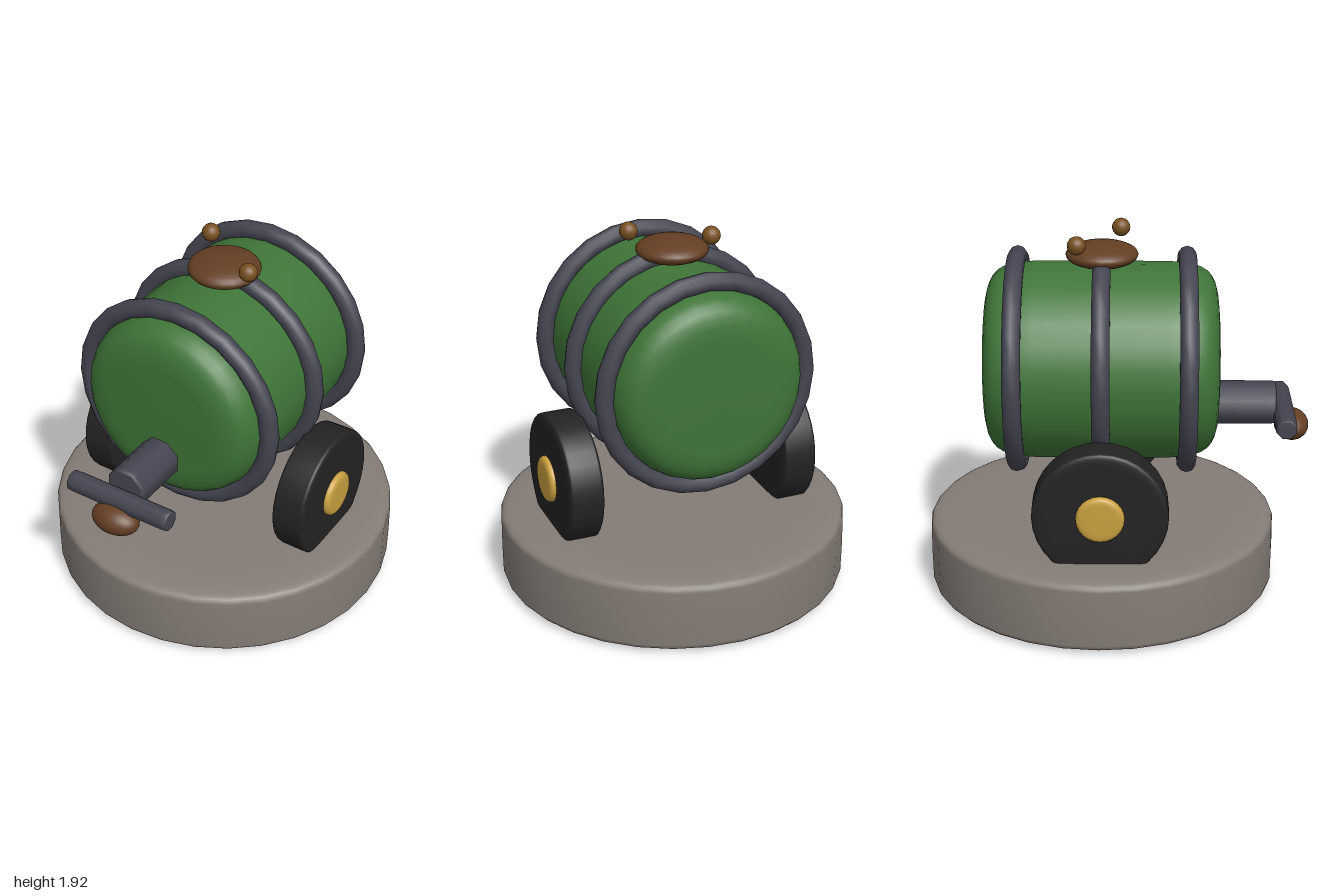
import * as THREE from 'three';

const mat = (name, color) => {
  const m = new THREE.MeshStandardMaterial({ color });
  m.name = name;
  return m;
};

// Round drum along y whose profile is a superellipse; a small e gives tight edges
function drum(radius, half, e, sides, steps = 20) {
  const pts = [];
  for (let i = 0; i <= steps; i++) {
    const a = -Math.PI / 2 + (Math.PI * i) / steps;
    const c = i === 0 || i === steps ? 0 : Math.cos(a);
    const s = i * 2 === steps ? 0 : Math.sin(a);
    pts.push(new THREE.Vector2(
      radius * Math.pow(c, e),
      half * Math.sign(s) * Math.pow(Math.abs(s), e)
    ));
  }
  return new THREE.LatheGeometry(pts, sides);
}

export function createModel() {
  const stone = mat('stone', 0x847c76);
  const green = mat('greenPaint', 0x3f7538);
  const iron = mat('iron', 0x454552);
  const rubber = mat('rubber', 0x232323);
  const brass = mat('brass', 0xc9a040);
  const wood = mat('brownWood', 0x633e23);
  const bronze = mat('bronze', 0x775020);

  const model = new THREE.Group();
  const add = (name, geometry, material, x, y, z, parent = model) => {
    const mesh = new THREE.Mesh(geometry, material);
    mesh.name = name;
    mesh.position.set(x, y, z);
    parent.add(mesh);
    return mesh;
  };
  const ellipsoid = (rx, ry, rz) => new THREE.SphereGeometry(1, 24, 16).scale(rx, ry, rz);

  // Plinth
  add('base', drum(0.915, 0.195, 0.15, 32), stone, 0, 0.195, -0.085);

  // Barrel lying along z, with three hoops
  add('barrel', drum(0.51, 0.6, 0.3, 28).rotateX(Math.PI / 2), green, 0, 1.225, -0.08);
  for (const z of [0.355, -0.08, -0.515]) {
    add('hoop', new THREE.TorusGeometry(0.538, 0.048, 10, 24), iron, 0, 1.225, z);
  }

  // Lid with two little knobs
  add('lid', ellipsoid(0.185, 0.062, 0.185), wood, 0, 1.79, -0.08);
  add('lidKnob', new THREE.SphereGeometry(0.047, 16, 12), bronze, -0.158, 1.877, -0.203);
  add('lidKnob', new THREE.SphereGeometry(0.047, 16, 12), bronze, 0.196, 1.877, 0.015);

  // Spout, crossbar and grip at the front
  const oct = (r, half) => drum(r, half, 0.12, 8).rotateY(Math.PI / 8);
  add('spout', oct(0.113, 0.2).rotateX(Math.PI / 2), iron, 0, 0.99, 0.625);
  add('crossbar', oct(0.057, 0.294).rotateZ(Math.PI / 2), iron, 0, 0.95, 0.863);
  add('grip', ellipsoid(0.13, 0.077, 0.09), wood, 0, 0.87, 0.91);

  // Wheels with brass hubs
  for (const side of [-1, 1]) {
    const wheel = new THREE.Group();
    wheel.name = side > 0 ? 'leftWheel' : 'rightWheel';
    wheel.position.set(side * 0.592, 0.635, -0.08);
    add('tyre', drum(0.342, 0.094, 0.15, 32).rotateZ(Math.PI / 2), rubber, 0, 0, 0, wheel);
    add('hub', drum(0.123, 0.1, 0.25, 24).rotateZ(Math.PI / 2), brass, side * 0.025, 0, 0, wheel);
    model.add(wheel);
  }

  return model;
}
